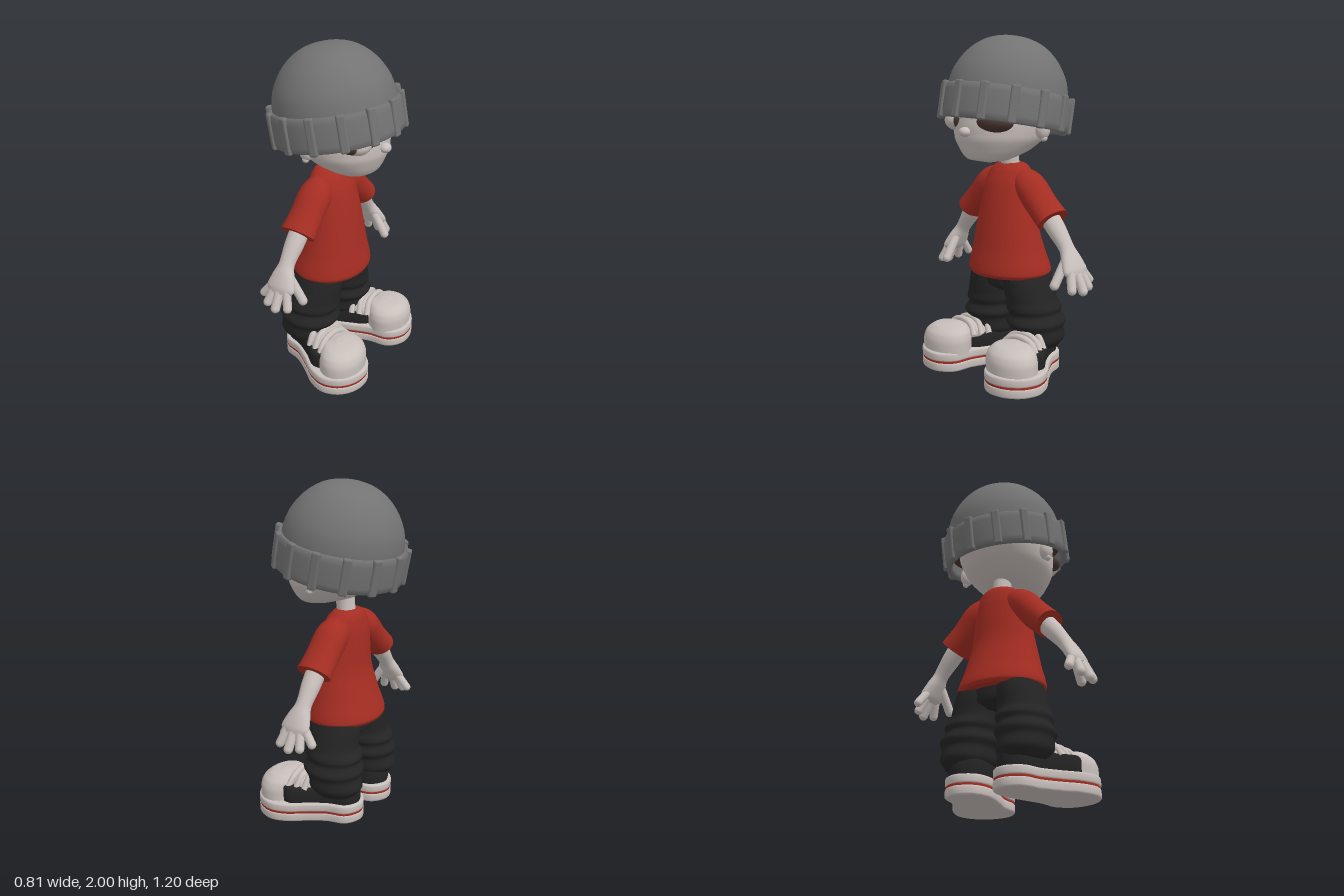
import * as THREE from 'three';
import { toCreasedNormals } from 'three/addons/utils/BufferGeometryUtils.js';
import { RoundedBoxGeometry } from 'three/addons/geometries/RoundedBoxGeometry.js';

const V = (x, y, z) => new THREE.Vector3(x, y, z);

function material(name, color) {
  const m = new THREE.MeshStandardMaterial({ color });
  m.name = name;
  return m;
}

// Smooth skin through elliptical rings [x, y, z, radiusX, radiusAcross]; level keeps rings horizontal.
function loft(rings, { level = false, sides = 32, per = 5 } = {}) {
  const path = new THREE.CatmullRomCurve3(rings.map(r => V(r[0], r[1], r[2])));
  const radii = new THREE.CatmullRomCurve3(rings.map(r => V(r[3], r[4], 0)));
  const steps = (rings.length - 1) * per;
  const pos = [], idx = [];
  const X = V(1, 0, 0);
  const ring = (i) => {
    const t = i / steps, c = path.getPoint(t), r = radii.getPoint(t);
    const dir = path.getPoint(Math.min(1, t + 0.01)).sub(path.getPoint(Math.max(0, t - 0.01)));
    if (level) dir.set(0, Math.sign(dir.y), 0);
    dir.x = 0;
    const across = X.clone().cross(dir.normalize());
    for (let k = 0; k < sides; k++) {
      const a = k / sides * Math.PI * 2;
      const p = c.clone().addScaledVector(X, Math.cos(a) * r.x).addScaledVector(across, Math.sin(a) * r.y);
      pos.push(p.x, p.y, p.z);
    }
    return c;
  };
  for (let i = 0; i <= steps; i++) ring(i);
  for (let i = 0; i < steps; i++) for (let k = 0; k < sides; k++) {
    const a = i * sides + k, b = i * sides + (k + 1) % sides;
    idx.push(a, a + sides, b, b, a + sides, b + sides);
  }
  // flat end caps with their own ring, so the rim stays sharp
  for (const end of [0, steps]) {
    const base = pos.length / 3, c = ring(end);
    pos.push(c.x, c.y, c.z);
    for (let k = 0; k < sides; k++) {
      const a = base + k, b = base + (k + 1) % sides;
      if (end) idx.push(a, base + sides, b); else idx.push(a, b, base + sides);
    }
  }
  const g = new THREE.BufferGeometry();
  g.setAttribute('position', new THREE.Float32BufferAttribute(pos, 3));
  g.setIndex(idx);
  g.computeVertexNormals();
  return g;
}

// Plate with a smooth outline of [x, z] points, between two heights.
function plate(points, s, y0, y1, bevel, inset = 0) {
  const curve = new THREE.CatmullRomCurve3(points.map(p => V(p[0], p[1] * s, 0)), true);
  const shape = new THREE.Shape(curve.getPoints(64).slice(0, -1).map(p => new THREE.Vector2(p.x, p.y)));
  const g = new THREE.ExtrudeGeometry(shape, {
    depth: y1 - y0 - 2 * bevel, bevelThickness: bevel, bevelSize: bevel,
    bevelOffset: -bevel - inset, bevelSegments: 3, bevelEnabled: true,
  });
  g.rotateX(Math.PI / 2).translate(0, y1 - bevel, 0);
  return toCreasedNormals(g, 0.7);
}

function latheFrom(points, smooth) {
  let pts = points.map(p => new THREE.Vector2(p[0], p[1]));
  if (smooth) pts = new THREE.SplineCurve(pts).getPoints(40).map(p => p.setX(Math.max(0, p.x)));
  return new THREE.LatheGeometry(pts, 64);
}

export function createModel() {
  const model = new THREE.Group();
  const pale = material('pale', 0xc8bfbb), grey = material('hatGrey', 0x737373);
  const red = material('red', 0xa52d22), black = material('black', 0x242424);
  const brown = material('darkBrown', 0x4a3533);

  const add = (name, geometry, mat, parent = model) => {
    const m = new THREE.Mesh(geometry, mat);
    m.name = name;
    parent.add(m);
    return m;
  };
  const ball = (name, c, r, mat) => {
    const m = add(name, new THREE.SphereGeometry(1, 28, 20), mat);
    m.position.set(...c);
    m.scale.set(...r);
    return m;
  };
  const capsule = (name, a, b, r, mat) => {
    const A = V(...a), B = V(...b), d = B.clone().sub(A);
    const m = add(name, new THREE.CapsuleGeometry(r, d.length(), 8, 16), mat);
    m.position.copy(A).add(B).multiplyScalar(0.5);
    m.quaternion.setFromUnitVectors(V(0, 1, 0), d.normalize());
    return m;
  };

  // Head and neck (the face looks towards +x)
  add('head', loft([
    [0.14, 1.277, 0, 0.02, 0.03], [0.14, 1.295, 0, 0.11, 0.13], [0.092, 1.34, 0, 0.192, 0.2],
    [0.045, 1.42, 0, 0.268, 0.265], [0.012, 1.51, 0, 0.298, 0.287], [0, 1.62, 0, 0.295, 0.29],
    [0, 1.75, 0, 0.2, 0.2]], { level: true, sides: 48 }), pale);
  add('neck', loft([[-0.045, 1.2, 0, 0.06, 0.06], [-0.035, 1.28, 0, 0.055, 0.055], [-0.02, 1.4, 0, 0.06, 0.06]],
    { level: true }), pale);
  ball('nose', [0.32, 1.46, 0], [0.035, 0.028, 0.036], pale);
  for (const s of [1, -1]) {
    ball('ear', [0.0, 1.475, 0.295 * s], [0.045, 0.06, 0.04], pale);
    ball('earStud', [0.0, 1.425, 0.305 * s], [0.02, 0.02, 0.02], pale);
    ball('eyeSocket', [0.215, 1.515, 0.12 * s], [0.09, 0.062, 0.135], brown);
  }
  ball('eyelid', [0.232, 1.515, 0.15], [0.08, 0.062, 0.085], pale);

  // Knitted hat, tipped back
  const hat = new THREE.Group();
  hat.name = 'hat';
  hat.position.set(0, 1.577, 0);
  hat.rotation.z = 0.19;
  model.add(hat);
  add('hatDome', latheFrom([[0.355, 0.05], [0.348, 0.13], [0.325, 0.21], [0.27, 0.3], [0.19, 0.372],
    [0.1, 0.41], [0, 0.422]], true), grey, hat);
  add('hatBand', latheFrom([[0.335, 0.07], [0.335, -0.08], [0.347, -0.098], [0.362, -0.102], [0.378, -0.094],
    [0.384, -0.06], [0.382, 0.06], [0.376, 0.09], [0.363, 0.1], [0.345, 0.09], [0.335, 0.07]]), grey, hat);
  const lining = add('hatLining', new THREE.CylinderGeometry(0.345, 0.345, 0.01, 48), brown, hat);
  lining.position.y = -0.02;
  for (let i = 0; i < 14; i++) {
    const a = i / 14 * Math.PI * 2;
    const rib = add('hatRib', new RoundedBoxGeometry(0.035, 0.212, 0.05, 3, 0.012), grey, hat);
    rib.position.set(Math.cos(a) * 0.378, 0, Math.sin(a) * 0.378);
    rib.rotation.y = -a;
  }

  // Shirt body
  add('shirt', loft([
    [-0.035, 0.6, 0, 0.215, 0.255], [-0.035, 0.625, 0, 0.225, 0.27], [-0.025, 0.75, 0, 0.193, 0.238],
    [-0.015, 0.9, 0, 0.16, 0.203], [-0.025, 1.05, 0, 0.142, 0.178], [-0.035, 1.15, 0, 0.125, 0.165],
    [-0.045, 1.22, 0, 0.1, 0.14], [-0.05, 1.252, 0, 0.078, 0.1], [-0.05, 1.262, 0, 0.06, 0.068]],
    { level: true, sides: 40 }), red);
  add('hips', loft([[-0.05, 0.49, 0, 0.08, 0.1], [-0.05, 0.53, 0, 0.145, 0.18], [-0.045, 0.66, 0, 0.15, 0.21]],
    { level: true }), black);

  const soleOutline = [[-0.255, 0.15], [-0.2, 0.055], [-0.1, 0.032], [0.03, 0.065], [0.17, 0.115], [0.3, 0.135],
    [0.37, 0.22], [0.365, 0.34], [0.3, 0.43], [0.2, 0.465], [0.1, 0.435], [0, 0.36], [-0.1, 0.295], [-0.21, 0.255]];
  const upperOutline = [[-0.235, 0.15], [-0.18, 0.065], [-0.08, 0.05], [0.05, 0.09], [0.15, 0.15], [0.17, 0.38],
    [0.1, 0.405], [0, 0.335], [-0.1, 0.275], [-0.2, 0.235]];

  for (const s of [1, -1]) {
    const side = rings => rings.map(([x, y, z, a, b]) => [x, y, z * s, a, b]);

    // Sleeve and arm
    add('sleeve', loft(side([[-0.045, 1.175, 0.07, 0.075, 0.075], [-0.045, 1.125, 0.16, 0.1, 0.092],
      [-0.045, 1.035, 0.25, 0.1, 0.086], [-0.047, 0.955, 0.335, 0.109, 0.083]])), red);
    add('arm', loft(side([[-0.047, 1.0, 0.28, 0.06, 0.06], [-0.05, 0.9, 0.365, 0.057, 0.053],
      [-0.052, 0.81, 0.435, 0.047, 0.042], [-0.048, 0.75, 0.475, 0.072, 0.042],
      [-0.045, 0.69, 0.51, 0.092, 0.038], [-0.045, 0.66, 0.527, 0.07, 0.026]])), pale);
    // Four fingers and a thumb
    for (const [from, to, r] of [
      [[-0.1, 0.7, 0.5], [-0.163, 0.62, 0.515], 0.025], [[-0.085, 0.68, 0.515], [-0.108, 0.595, 0.555], 0.026],
      [[-0.045, 0.68, 0.52], [-0.042, 0.582, 0.572], 0.027], [[0, 0.69, 0.515], [0.03, 0.595, 0.553], 0.026],
      [[-0.01, 0.74, 0.465], [0.072, 0.615, 0.46], 0.027]])
      capsule('finger', [from[0], from[1], from[2] * s], [to[0], to[1], to[2] * s], r, pale);

    // Baggy trouser leg with folds
    add('trouserLeg', loft(side([
      [-0.045, 0.68, 0.125, 0.15, 0.115], [-0.05, 0.56, 0.143, 0.165, 0.137], [-0.055, 0.46, 0.162, 0.162, 0.146],
      [-0.07, 0.41, 0.172, 0.178, 0.156], [-0.073, 0.375, 0.176, 0.166, 0.146], [-0.075, 0.325, 0.184, 0.188, 0.168],
      [-0.08, 0.28, 0.188, 0.168, 0.15], [-0.088, 0.225, 0.188, 0.174, 0.152], [-0.09, 0.17, 0.185, 0.14, 0.12]]),
      { level: true }), black);

    // Shoe
    add('soleBottom', plate(soleOutline, s, 0, 0.057, 0.012), pale);
    add('soleStripe', plate(soleOutline, s, 0.05, 0.07, 0.002, 0.004), red);
    add('soleTop', plate(soleOutline, s, 0.063, 0.117, 0.012), pale);
    add('shoeUpper', plate(upperOutline, s, 0.1, 0.215, 0.02), black);
    add('toeCap', loft(side([[0.228, 0.1, 0.28, 0.13, 0.165], [0.228, 0.17, 0.278, 0.131, 0.166],
      [0.222, 0.22, 0.274, 0.122, 0.152], [0.21, 0.255, 0.268, 0.088, 0.112], [0.2, 0.268, 0.265, 0.02, 0.03]]),
      { level: true }), pale);
    ball('tongue', [0.075, 0.205, 0.23 * s], [0.11, 0.075, 0.125], pale);
    for (let i = 0; i < 3; i++) {
      const x = 0.03 + i * 0.048, z = 0.215 + i * 0.015, top = 0.288 - i * 0.008;
      const arc = new THREE.CatmullRomCurve3([
        V(x + 0.03, 0.2, (z - 0.13) * s), V(x + 0.01, top - 0.02, (z - 0.08) * s), V(x, top, z * s),
        V(x - 0.005, top - 0.02, (z + 0.08) * s), V(x, 0.2, (z + 0.13) * s)]);
      add('lace', new THREE.TubeGeometry(arc, 24, 0.019, 10), pale);
    }
  }
  return model;
}
